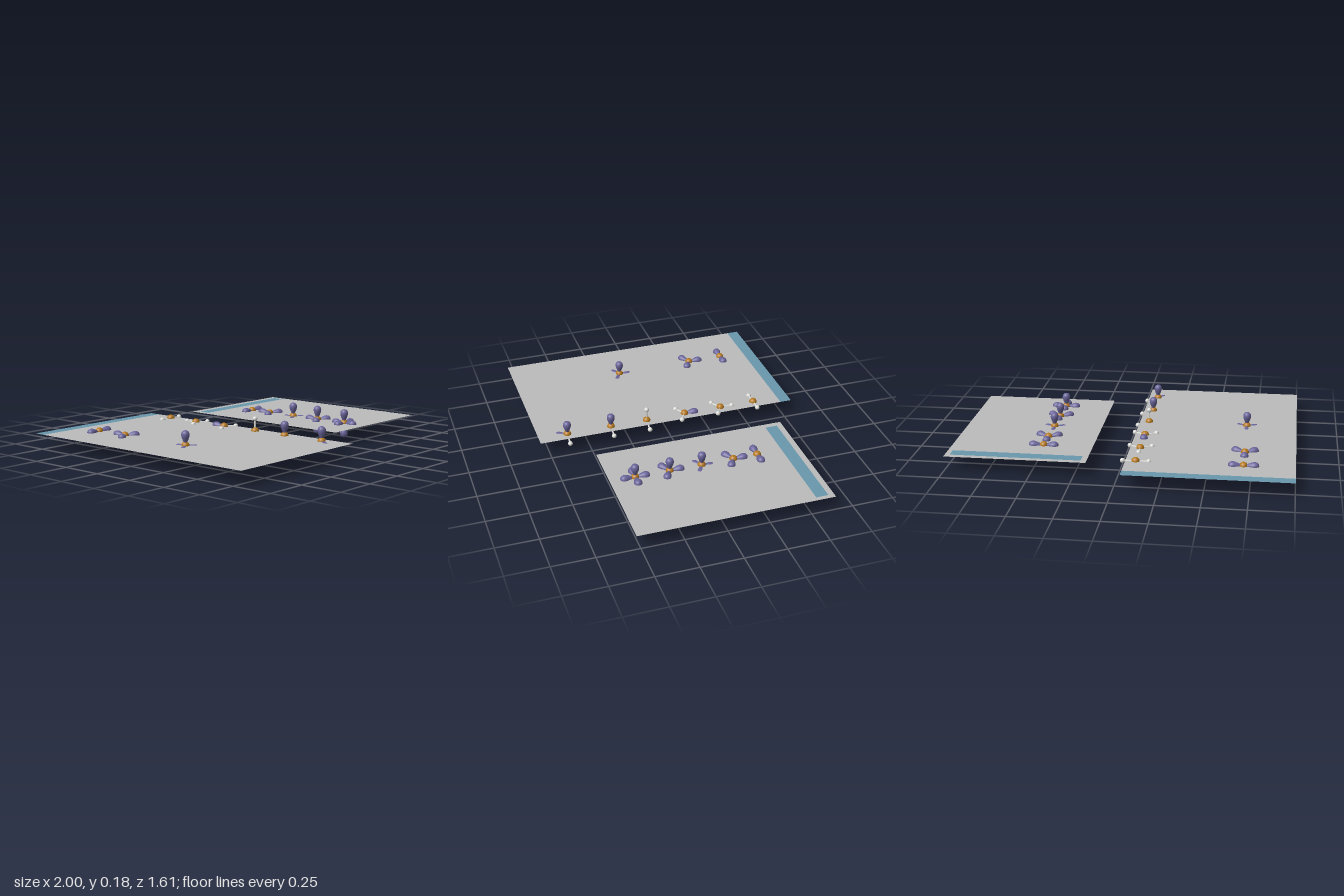
import * as THREE from 'three';

const Y = 0.088; // common height of the sheets and atom centres
const mat = (name, color, side = THREE.FrontSide) => {
  const m = new THREE.MeshStandardMaterial({ color, side });
  m.name = name;
  return m;
};
const sheetGrey = mat('sheet grey', 0xbcbcbc, THREE.DoubleSide);
const bandBlue = mat('band blue', 0x6a98ac, THREE.DoubleSide);
const lobePurple = mat('lobe purple', 0x6a659a);
const coreOrange = mat('core orange', 0xb67a1e);
const atomWhite = mat('atom white', 0xdcdcd8);

// Shared part geometries; lobes and bonds grow along +y from the atom centre
const lobeProfile = new THREE.SplineCurve([
  [0.006, 0], [0.010, 0.018], [0.018, 0.038], [0.0238, 0.058],
  [0.0215, 0.075], [0.012, 0.0855], [0, 0.088],
].map(([r, y]) => new THREE.Vector2(r, y))).getPoints(20);
lobeProfile.forEach((p) => { p.x = Math.max(p.x, 0); });
const lobeGeo = new THREE.LatheGeometry(lobeProfile, 20);
const coreGeo = new THREE.SphereGeometry(0.0235, 24, 16);
const atomGeo = new THREE.SphereGeometry(0.0145, 20, 14);
const bondGeo = new THREE.CylinderGeometry(0.005, 0.005, 0.075, 12, 1, true).translate(0, 0.0375, 0);

function add(parent, name, geo, material) {
  const mesh = new THREE.Mesh(geo, material);
  mesh.name = name;
  parent.add(mesh);
  return mesh;
}

// Direction sets for each arrangement
const S = Math.sqrt(3) / 2;
const linear = [[1, 0, 0], [-1, 0, 0]];
const planar = [[0, 0, -1], [S, 0, 0.5], [-S, 0, 0.5]];
const droop = ([x, , z]) => [x * 0.943, -1 / 3, z * 0.943];
const axial = [[0, 1, 0], [0, -1, 0]];
const tetra = [[0, 1, 0], ...planar.map(droop)];
const tetraSide = [[0, 1, 0], ...[[1, 0, 0], [-0.5, 0, S], [-0.5, 0, -S]].map(droop)];
const bipyramid = [...planar, ...axial];
const octahedral = [...linear, ...axial, [0, 0, 1], [0, 0, -1]];

// kinds: one letter per direction, L = lobe, A = bonded atom
function molecule(name, x, z, directions, kinds) {
  const g = new THREE.Group();
  g.name = name;
  g.position.set(x, Y, z);
  add(g, 'core', coreGeo, coreOrange);
  directions.forEach((d, i) => {
    const arm = new THREE.Group();
    arm.quaternion.setFromUnitVectors(new THREE.Vector3(0, 1, 0), new THREE.Vector3(...d).normalize());
    if (kinds[i] === 'L') {
      arm.name = 'lobeArm';
      add(arm, 'lobe', lobeGeo, lobePurple);
    } else {
      arm.name = 'atomArm';
      add(arm, 'bond', bondGeo, atomWhite);
      add(arm, 'atom', atomGeo, atomWhite).position.y = 0.075;
    }
    g.add(arm);
  });
  return g;
}

// Flat rectangle outline; shape y becomes -z once laid down
function rect(Type, x0, x1, z0, z1) {
  return new Type([[x0, -z1], [x1, -z1], [x1, -z0], [x0, -z0]].map(([x, y]) => new THREE.Vector2(x, y)));
}
function flat(parent, name, shape, material) {
  add(parent, name, new THREE.ShapeGeometry(shape).rotateX(-Math.PI / 2), material).position.y = Y;
}

export function createModel() {
  const model = new THREE.Group();
  model.name = 'molecularShapesDisplay';

  // Large sheet with a band along its back edge
  flat(model, 'largeSheet', rect(THREE.Shape, -1, -0.04, -0.735, 0.805), sheetGrey);
  flat(model, 'largeSheetBand', rect(THREE.Shape, -1, -0.04, -0.805, -0.735), bandBlue);

  // Small sheet with an inset band
  const small = rect(THREE.Shape, 0.177, 1, -0.642, 0.522);
  small.holes.push(rect(THREE.Path, 0.211, 0.972, -0.607, -0.533));
  flat(model, 'smallSheet', small, sheetGrey);
  flat(model, 'smallSheetBand', rect(THREE.Shape, 0.211, 0.972, -0.607, -0.533), bandBlue);

  // Three columns of molecules
  [
    ['linearLobes', -0.708, -0.572, linear, 'LL'],
    ['planarLobes', -0.706, -0.353, planar, 'LLL'],
    ['tetrahedralLobes', -0.698, 0.128, tetra, 'LLLL'],
    ['linearAtoms', -0.099, -0.572, linear, 'AA'],
    ['planarAtoms', -0.099, -0.353, planar, 'AAA'],
    ['bentAtoms', -0.099, -0.118, planar, 'LAA'],
    ['tetrahedralAtoms', -0.096, 0.128, tetraSide, 'AAAA'],
    ['pyramidAtoms', -0.096, 0.355, tetraSide, 'LAAA'],
    ['bentPairAtoms', -0.096, 0.628, tetraSide, 'LALA'],
    ['linearPairs', 0.468, -0.377, linear, 'LL'],
    ['planarPairs', 0.468, -0.228, planar, 'LLL'],
    ['tetrahedralPairs', 0.468, -0.032, tetra, 'LLLL'],
    ['bipyramidPairs', 0.468, 0.163, bipyramid, 'LLLLL'],
    ['octahedralPairs', 0.468, 0.371, octahedral, 'LLLLLL'],
  ].forEach((m) => model.add(molecule(...m)));

  return model;
}
